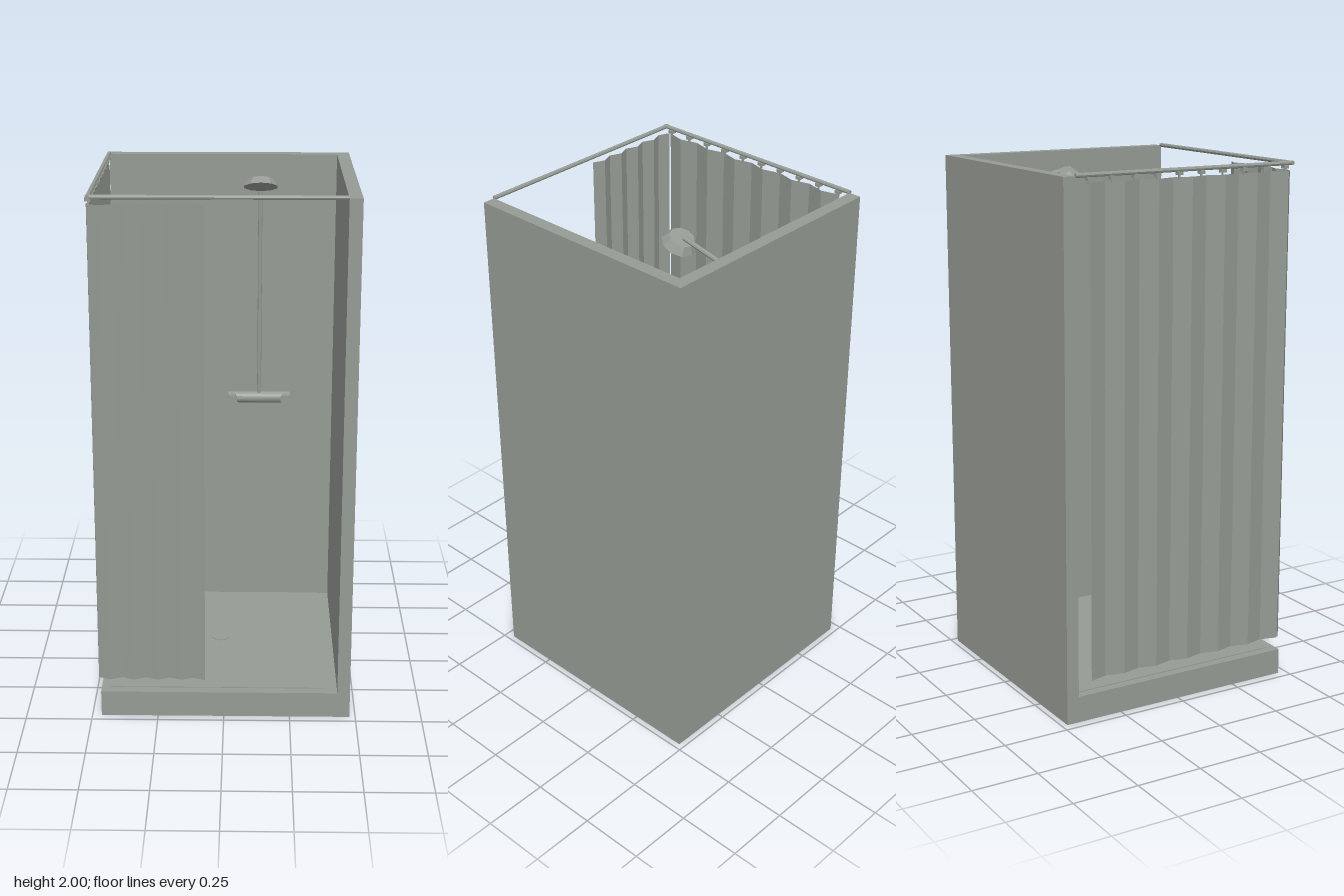
import * as THREE from 'three';

export function createModel() {
  const model = new THREE.Group();
  model.name = 'showerCabin';

  const grey = new THREE.MeshStandardMaterial({ color: 0x969b94, flatShading: true });
  grey.name = 'grey';
  const curtainGrey = grey.clone();
  curtainGrey.name = 'curtainGrey';
  curtainGrey.side = THREE.DoubleSide;

  const add = (name, geometry, material = grey, parent = model) => {
    const mesh = new THREE.Mesh(geometry, material);
    mesh.name = name;
    parent.add(mesh);
    return mesh;
  };

  // Box given by its two opposite corners
  const box = (name, a, b, parent = model) => {
    const mesh = add(name, new THREE.BoxGeometry(b[0] - a[0], b[1] - a[1], b[2] - a[2]), grey, parent);
    mesh.position.set((a[0] + b[0]) / 2, (a[1] + b[1]) / 2, (a[2] + b[2]) / 2);
    return mesh;
  };

  // Round bar between two points
  const bar = (name, a, b, radius, sides, parent = model) => {
    const from = new THREE.Vector3(...a);
    const to = new THREE.Vector3(...b);
    const dir = to.clone().sub(from);
    const mesh = add(name, new THREE.CylinderGeometry(radius, radius, dir.length(), sides), grey, parent);
    mesh.position.copy(from).add(to).multiplyScalar(0.5);
    mesh.quaternion.setFromUnitVectors(new THREE.Vector3(0, 1, 0), dir.normalize());
    return mesh;
  };

  // Tray, raised floor plate and drain
  box('tray', [-0.465, 0, -0.478], [0.478, 0.1, 0.467]);
  box('floorPlate', [-0.43, 0.099, -0.43], [0.39, 0.103, 0.43]);
  const drain = add('drain', new THREE.CylinderGeometry(0.035, 0.035, 0.004, 20));
  drain.position.set(-0.02, 0.104, 0);

  // Walls: one at the back, one on the model's left
  box('backWall', [-0.465, 0.1, -0.478], [0.43, 1.99, -0.43]);
  box('sideWall', [0.43, 0.1, -0.478], [0.478, 1.99, 0.467]);

  // Curtain rails along the two open sides
  const railY = 1.992;
  bar('frontRail', [-0.474, railY, 0.466], [0.43, railY, 0.466], 0.008, 8);
  bar('sideRail', [-0.466, railY, -0.432], [-0.466, railY, 0.474], 0.008, 8);

  // Pleated curtain: a zigzag strip; point(t, d) places the fold line
  const curtain = (name, panels, point) => {
    const geometry = new THREE.PlaneGeometry(1, 1, panels, 1);
    const pos = geometry.attributes.position;
    for (let i = 0; i < pos.count; i++) {
      const column = i % (panels + 1);
      const [x, z] = point(column / panels, column % 2 ? 0.009 : -0.009);
      pos.setXYZ(i, x, i <= panels ? 1.965 : 0.155, z);
    }
    geometry.computeVertexNormals();
    add(name, geometry, curtainGrey);
  };
  curtain('frontCurtain', 9, (t, d) => [-0.472 + t * 0.402, 0.464 + d]);
  curtain('sideCurtain', 12, (t, d) => [-0.464 + d, -0.38 + t * 0.83]);

  // Curtain hooks on the side rail
  const hooks = new THREE.Group();
  hooks.name = 'curtainHooks';
  model.add(hooks);
  for (let i = 0; i < 10; i++) {
    const z = -0.38 + i * 0.0907;
    box('hook', [-0.478, 1.973, z - 0.01], [-0.457, 1.985, z + 0.01], hooks);
    box('hookLink', [-0.469, 1.96, z - 0.003], [-0.463, 1.975, z + 0.003], hooks);
  }

  // Shower: mixer bar with two knobs, riser, arm and tilted head
  const shower = new THREE.Group();
  shower.name = 'shower';
  model.add(shower);
  bar('mixerBar', [0.005, 0.998, -0.398], [0.255, 0.998, -0.398], 0.023, 16, shower);
  for (const x of [0.02, 0.238]) bar('knob', [x, 0.998, -0.39], [x, 0.998, -0.35], 0.021, 10, shower);
  bar('riser', [0.13, 1.0, -0.395], [0.13, 1.895, -0.395], 0.008, 8, shower);
  bar('arm', [0.13, 1.89, -0.402], [0.13, 1.94, -0.175], 0.009, 8, shower);
  const head = add('showerHead', new THREE.CylinderGeometry(0.047, 0.066, 0.03, 10), grey, shower);
  head.position.set(0.13, 1.926, -0.159);
  head.rotation.x = -0.43;

  return model;
}
